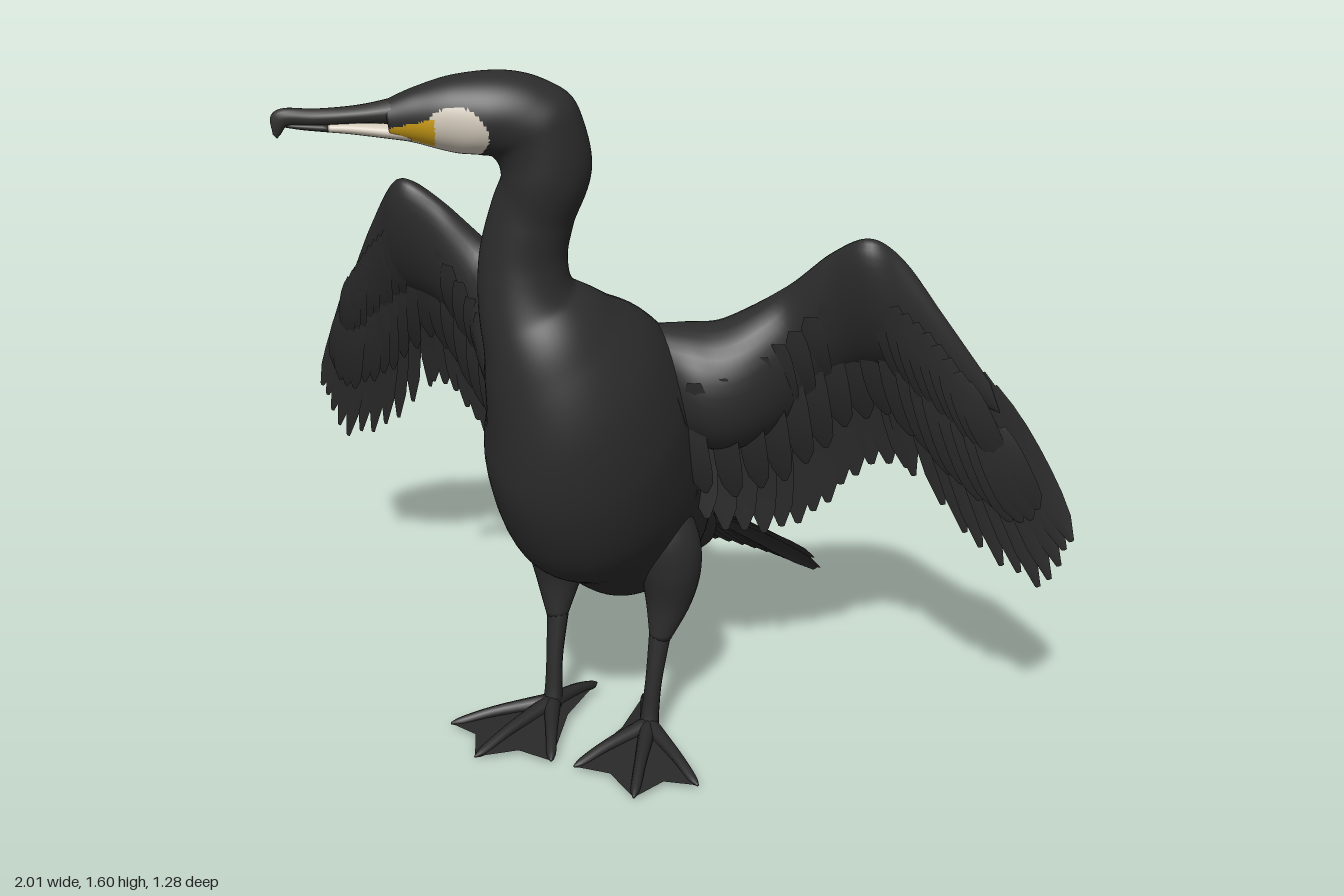
import * as THREE from 'three';
import { mergeGeometries } from 'three/addons/utils/BufferGeometryUtils.js';

const V = (x, y, z) => new THREE.Vector3(x, y, z);
const curve = pts => new THREE.CatmullRomCurve3(pts, false, 'catmullrom', 0.5);

const mat = (name, color) => {
  const m = new THREE.MeshStandardMaterial({ color, side: THREE.DoubleSide });
  m.name = name;
  return m;
};

// Smooth skin over oval rings { a: belly point, b: back point, w: half width }.
// pick(centre) may choose a material slot for each triangle.
function loft(rings, steps, segs, pick = () => 0) {
  const A = curve(rings.map(r => r.a)), B = curve(rings.map(r => r.b));
  const W = curve(rings.map(r => V(r.w, 0, 0)));
  const pos = [], slots = [[], [], []];
  const centre = t => A.getPoint(t).lerp(B.getPoint(t), 0.5);
  for (let i = 0; i <= steps; i++) {
    const t = i / steps, c = centre(t);
    const tangent = centre(Math.min(1, t + 0.01)).sub(centre(Math.max(0, t - 0.01)));
    const d = B.getPoint(t).sub(c);
    const side = tangent.cross(d).normalize().multiplyScalar(W.getPoint(t).x);
    for (let j = 0; j < segs; j++) {
      const q = j / segs * Math.PI * 2;
      pos.push(...c.clone().addScaledVector(d, Math.cos(q)).addScaledVector(side, Math.sin(q)).toArray());
    }
  }
  const last = (steps + 1) * segs;
  pos.push(...centre(0).toArray(), ...centre(1).toArray());
  const at = k => V(pos[k * 3], pos[k * 3 + 1], pos[k * 3 + 2]);
  const tri = (a, b, c) => slots[pick(at(a).add(at(b)).add(at(c)).divideScalar(3))].push(a, b, c);
  for (let j = 0; j < segs; j++) {
    const k = (j + 1) % segs;
    for (let i = 0; i < steps; i++) {
      const p = i * segs, q = p + segs;
      tri(p + j, p + k, q + k);
      tri(p + j, q + k, q + j);
    }
    tri(last, k, j);
    tri(last + 1, steps * segs + j, steps * segs + k);
  }
  const g = new THREE.BufferGeometry();
  g.setAttribute('position', new THREE.Float32BufferAttribute(pos, 3));
  g.setIndex(slots.flat());
  let start = 0;
  slots.forEach((s, m) => { if (s.length) g.addGroup(start, s.length, m); start += s.length; });
  g.computeVertexNormals();
  return g;
}

// Round limb through [x, y, z, radius] points; axis lies across the limb
function limb(pts, axis, steps = 24, segs = 12) {
  return loft(pts.map(([x, y, z, r]) => ({
    a: V(x, y, z).addScaledVector(axis, -r), b: V(x, y, z).addScaledVector(axis, r), w: r })), steps, segs);
}

// One thin feather with a raised shaft, slightly tilted so neighbours overlap
const BLUNT = [0.5, 0.8, 0.95, 1, 1, 0.95, 0.78, 0.2];
const ROUNDED = [0.45, 0.6, 0.75, 0.88, 0.96, 1, 0.92, 0.4];
function feather(base, tip, width, n, profile, bow, tilt) {
  const dir = tip.clone().sub(base);
  const side = dir.clone().cross(n).normalize().addScaledVector(n, tilt).multiplyScalar(width / 2);
  const pos = [], idx = [];
  profile.forEach((f, i) => {
    const t = i / (profile.length - 1);
    const c = base.clone().addScaledVector(dir, t).addScaledVector(n, bow * Math.sin(t * Math.PI));
    for (const k of [-1, 0, 1])
      pos.push(...c.clone().addScaledVector(side, k * f).addScaledVector(n, k ? 0 : 0.004).toArray());
    if (i) for (const k of [0, 1]) {
      const p = i * 3 + k;
      idx.push(p - 3, p - 2, p, p - 2, p + 1, p);
    }
  });
  const g = new THREE.BufferGeometry();
  g.setAttribute('position', new THREE.Float32BufferAttribute(pos, 3));
  g.setIndex(idx);
  g.computeVertexNormals();
  return g;
}

export function createModel() {
  const model = new THREE.Group();
  const plumage = mat('dark plumage', 0x2c2c2c);
  const billDark = mat('dark bill', 0x333231);
  const pale = mat('pale face skin', 0xd3cabb);
  const yellow = mat('yellow gape', 0xd0a018);
  const skin = mat('foot skin', 0x292828);
  const add = (name, geometry, material, parent = model) => {
    const m = new THREE.Mesh(geometry, material);
    m.name = name;
    parent.add(m);
  };

  // Torso and neck: belly z, y, back z, y, half width, x
  const rings = [
    [-0.37, 0.225, -0.385, 0.25, 0.03, 0.01], [-0.25, 0.265, -0.3, 0.41, 0.085, 0.02],
    [-0.05, 0.305, -0.23, 0.52, 0.135, 0], [0.12, 0.32, -0.16, 0.66, 0.175, 0],
    [0.25, 0.41, -0.11, 0.78, 0.205, -0.01], [0.39, 0.5, -0.05, 0.9, 0.215, -0.01],
    [0.475, 0.65, 0.01, 0.985, 0.213, -0.01], [0.505, 0.8, 0.09, 1.04, 0.188, -0.015],
    [0.5, 0.97, 0.19, 1.09, 0.145, -0.045], [0.48, 1.09, 0.265, 1.145, 0.104, -0.078],
    [0.465, 1.2, 0.28, 1.225, 0.091, -0.085], [0.455, 1.3, 0.275, 1.315, 0.086, -0.065],
  ].map(([z, y, bz, by, w, x]) => ({ a: V(x, y, z), b: V(x, by, bz), w }));
  rings.push({ a: V(-0.08, 1.385, 0.445), b: V(0.015, 1.41, 0.282), w: 0.084 });

  // Head is turned to its right: s runs from the skull to the bill tip
  const onHead = (s, y) => V(-0.03 - 0.855 * s, y, 0.36 + 0.52 * s);
  const headRings = rows => rows.map(([s, y, bs, by, w]) => ({ a: onHead(s, y), b: onHead(bs, by), w }));
  rings.push(...headRings([
    [0.11, 1.43, -0.06, 1.53, 0.088], [0.14, 1.438, 0, 1.58, 0.088], [0.18, 1.442, 0.08, 1.602, 0.084],
    [0.22, 1.452, 0.18, 1.597, 0.069], [0.26, 1.464, 0.26, 1.575, 0.05], [0.31, 1.476, 0.32, 1.55, 0.034],
  ]));
  const facePaint = p => {
    const s = -(p.x + 0.03) * 0.855 + (p.z - 0.36) * 0.52;
    if (s > 0.225 && Math.abs(p.y - 1.494) < 0.03 - (s - 0.225) * 0.25) return 2;
    if (((s - 0.185) / 0.064) ** 2 + ((p.y - 1.488) / 0.06) ** 2 < 1) return 1;
    return s > 0.19 && p.y < 1.485 ? 1 : 0;
  };
  add('body neck and head', loft(rings, 200, 60, facePaint), [plumage, pale, yellow]);

  // Hooked bill
  add('upper bill', loft(headRings([
    [0.26, 1.5, 0.26, 1.565, 0.038], [0.36, 1.507, 0.36, 1.544, 0.026], [0.45, 1.505, 0.45, 1.538, 0.019],
    [0.505, 1.506, 0.515, 1.541, 0.016], [0.522, 1.49, 0.54, 1.525, 0.01], [0.53, 1.481, 0.538, 1.49, 0.003],
  ]), 40, 16), billDark);
  add('lower bill', loft(headRings([
    [0.27, 1.468, 0.27, 1.502, 0.033], [0.38, 1.485, 0.38, 1.509, 0.022], [0.43, 1.491, 0.43, 1.509, 0.017],
  ]), 20, 16), pale);
  add('lower bill tip', loft(headRings([
    [0.43, 1.491, 0.43, 1.509, 0.017], [0.48, 1.497, 0.48, 1.511, 0.013], [0.515, 1.503, 0.515, 1.511, 0.006],
  ]), 10, 16), billDark);

  // Fanned tail with a slightly shorter layer on top
  const tailTips = curve([V(-0.14, 0.115, -0.62), V(0.08, 0.1, -0.61), V(0.295, 0.14, -0.52)]);
  const tail = [], tailUp = V(0, 0.78, -0.63);
  for (const [count, reach, lift] of [[12, 1, 0], [9, 0.97, 0.018]])
    for (let i = 0; i < count; i++) {
      const t = (i + lift * 16) / (count - 1 + lift * 32), arch = 0.03 * Math.sin(t * Math.PI);
      const base = V(-0.04 + 0.13 * t, 0.395 + arch, -0.22);
      const tip = base.clone().lerp(tailTips.getPoint(t), reach).addScaledVector(tailUp, lift + arch * 0.6);
      tail.push(feather(base, tip, 0.06, tailUp, ROUNDED, 0.008, 0.3));
    }
  add('tail feathers', mergeGeometries(tail), plumage);

  for (const side of [1, -1]) {
    const label = side > 0 ? 'left' : 'right';
    // The right wing tip sweeps further back
    const P = (x, y, z) => V(side * x, y, z - (side < 0 ? Math.max(0, x - 0.5) * 0.24 : 0));

    // Spread wing between a leading edge and a line of feather tips
    const lead = curve([P(0.05, 1, 0.11), P(0.25, 1.015, 0.06), P(0.36, 1.09, 0.02), P(0.46, 1.185, 0.04),
      P(0.55, 1.24, 0.065), P(0.63, 1.19, 0.035), P(0.72, 1.06, 0.005), P(0.82, 0.91, -0.04), P(0.92, 0.73, -0.08)]);
    const trail = curve([P(0.17, 0.6, 0.14), P(0.24, 0.49, 0.02), P(0.33, 0.465, -0.07), P(0.42, 0.52, -0.1),
      P(0.5, 0.62, -0.11), P(0.6, 0.66, -0.12), P(0.72, 0.55, -0.14), P(0.8, 0.48, -0.13),
      P(0.88, 0.44, -0.13), P(0.95, 0.425, -0.12), P(0.98, 0.5, -0.11), P(1, 0.56, -0.1)]);
    const wing = new THREE.Group();
    wing.name = label + ' wing';
    model.add(wing);
    const spot = (u, v, f, dz = 0) => lead.getPoint(u).lerp(trail.getPoint(v), f).add(V(0, 0, dz));

    add('wing arm', loft([[0, 0.6, 0.07], [0.06, 0.58, 0.12], [0.12, 0.56, 0.12], [0.25, 0.52, 0.075],
      [0.38, 0.5, 0.054], [0.5, 0.48, 0.052], [0.6, 0.42, 0.036], [0.72, 0.32, 0.022], [0.86, 0.15, 0.008]]
      .map(([u, f, w]) => ({ a: spot(u, u, f), b: spot(u, u, 0), w })), 60, 32), plumage, wing);

    // Rows of feathers: count, first and last u, root and tip fractions, width, depth, hand fan
    const row = (count, u0, u1, root, tip, width, dz, hand = 1) => {
      const list = [], face = Math.sign(dz);
      for (let i = 0; i < count; i++) {
        const u = u0 + (u1 - u0) * i / (count - 1);
        const v = u > 0.48 ? 0.48 + (u - 0.48) * hand : u;
        const thick = Math.abs(dz) > 0.01 ? face * Math.max(0, 0.11 * (1 - u / 0.4)) : 0;
        const end = tip - (i % 2) * 0.015;
        list.push(feather(spot(v, u, root, dz + thick), spot(v, u, end, dz * 0.4 + thick * 0.8), width,
          V(0, 0, 1), BLUNT, face * 0.012, 0.18 * side));
      }
      return mergeGeometries(list);
    };
    add('primary feathers', row(11, 0.48, 1, 0.14, 1, 0.058, -0.004, 0.66), plumage, wing);
    add('secondary feathers', row(14, 0.02, 0.47, 0.3, 1, 0.07, -0.006), plumage, wing);
    add('front long coverts', row(20, 0.04, 0.92, 0.35, 0.76, 0.058, 0.022, 0.72), plumage, wing);
    add('front short coverts', row(21, 0.06, 0.85, 0.18, 0.5, 0.056, 0.044, 0.75), plumage, wing);
    add('back coverts', row(19, 0.1, 0.92, 0.25, 0.74, 0.06, -0.036, 0.72), plumage, wing);

    // Leg with feathered thigh
    const leg = new THREE.Group();
    leg.name = label + ' leg';
    model.add(leg);
    add('thigh', limb([[0.115, 0.6, 0.13, 0.045], [0.135, 0.51, 0.125, 0.072], [0.143, 0.43, 0.12, 0.072],
      [0.14, 0.34, 0.12, 0.054], [0.132, 0.255, 0.148, 0.026]]
      .map(([x, ...r]) => [side * x, ...r]), V(0, 0, -1), 30, 24), plumage, leg);
    add('shank', limb([[0.132, 0.29, 0.14, 0.028], [0.128, 0.16, 0.175, 0.02], [0.125, 0.08, 0.19, 0.021],
      [0.125, 0.035, 0.2, 0.024]].map(([x, ...r]) => [side * x, ...r]), V(0, 0, -1)), skin, leg);

    // Four webbed toes; the right foot turns slightly outward
    const turn = side > 0 ? 0 : 0.018;
    const heel = V(side * 0.125, 0.045, 0.2);
    const tips = [[0.055, 0.03, 0.06], [0.02, 0.014, 0.385], [0.19, 0.01, 0.435], [0.305, 0.014, 0.34]]
      .map(([x, y, z]) => V(side * (x + turn), y, z));
    const web = [];
    tips.forEach((tip, i) => {
      const knuckle = heel.clone().lerp(tip, 0.55).add(V(0, 0.006, 0));
      add('toe', limb([[...heel.toArray(), 0.021], [...knuckle.toArray(), 0.014],
        [...heel.clone().lerp(tip, 0.88).toArray(), 0.011], [...tip.toArray(), 0.003]], V(0, 1, 0), 14, 8), skin, leg);
      if (!i) return;
      const edge = heel.clone().lerp(tips[i - 1].clone().lerp(tip, 0.5), i === 1 ? 0.7 : 0.86);
      for (const p of [heel, tips[i - 1], edge, heel, edge, tip]) web.push(...p.toArray());
    });
    const webGeometry = new THREE.BufferGeometry();
    webGeometry.setAttribute('position', new THREE.Float32BufferAttribute(web, 3));
    webGeometry.computeVertexNormals();
    add('foot web', webGeometry, skin, leg);
  }
  return model;
}
